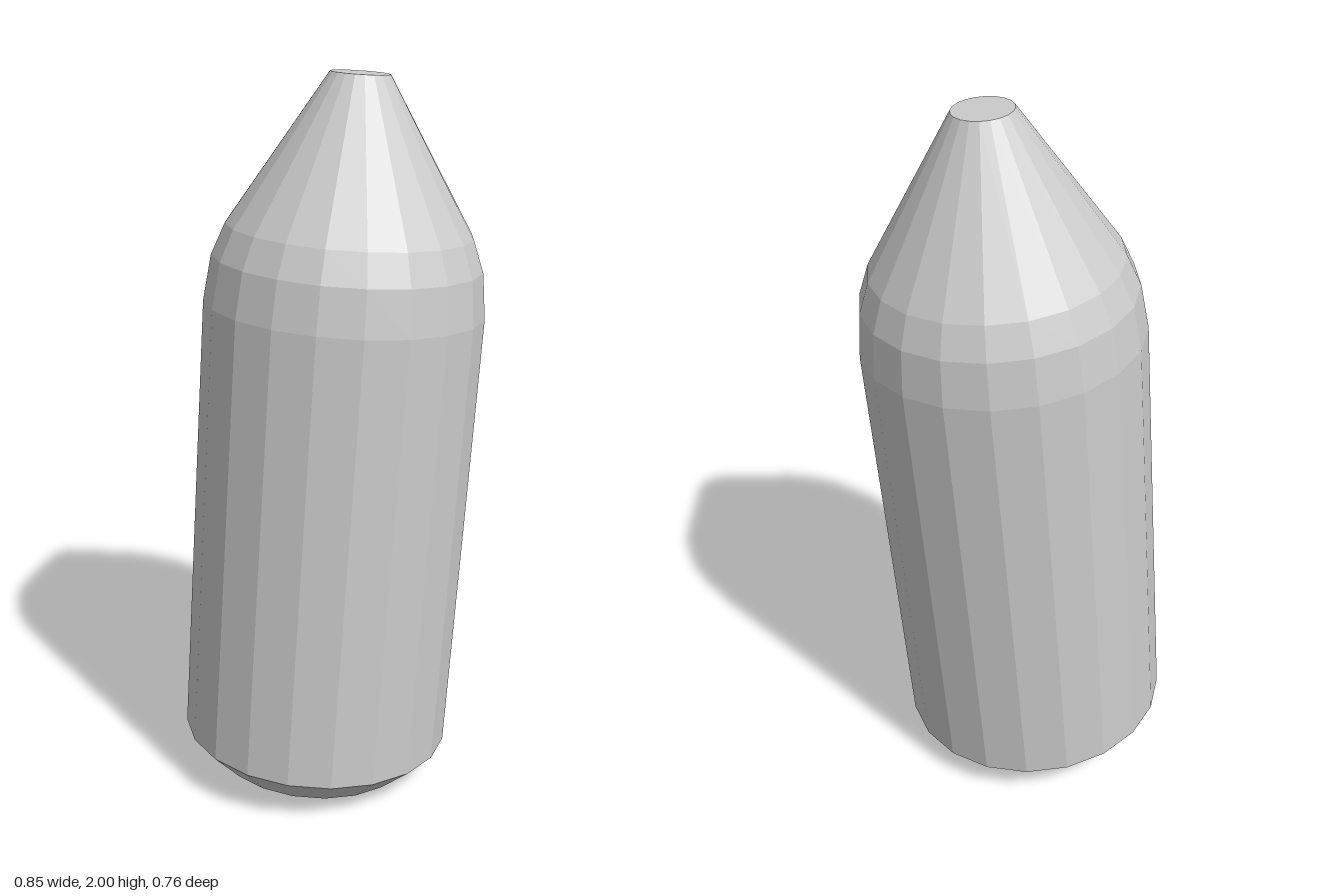
import * as THREE from 'three';

export function createModel() {
  const group = new THREE.Group();
  const sides = 20;

  // Profile along the axis: flat base, chamfer, straight wall, rounded shoulder, truncated cone
  const profile = [
    [0, 0], [0.29, 0], [0.383, 0.09], [0.383, 1.36], [0.367, 1.485],
    [0.334, 1.57], [0.08, 1.975], [0, 1.975],
  ].map(([r, y]) => new THREE.Vector2(r, y));

  // Half a step of turn puts flat facets on the four main sides
  const geometry = new THREE.LatheGeometry(profile, sides, Math.PI / sides);
  const material = new THREE.MeshStandardMaterial({ color: 0xcccccc, flatShading: true });
  const body = new THREE.Mesh(geometry, material);
  body.name = 'taperedBody';

  // The whole body leans slightly towards +x
  body.rotation.z = -0.078;
  body.position.set(-0.06, 0.023, 0);
  group.add(body);
  return group;
}
